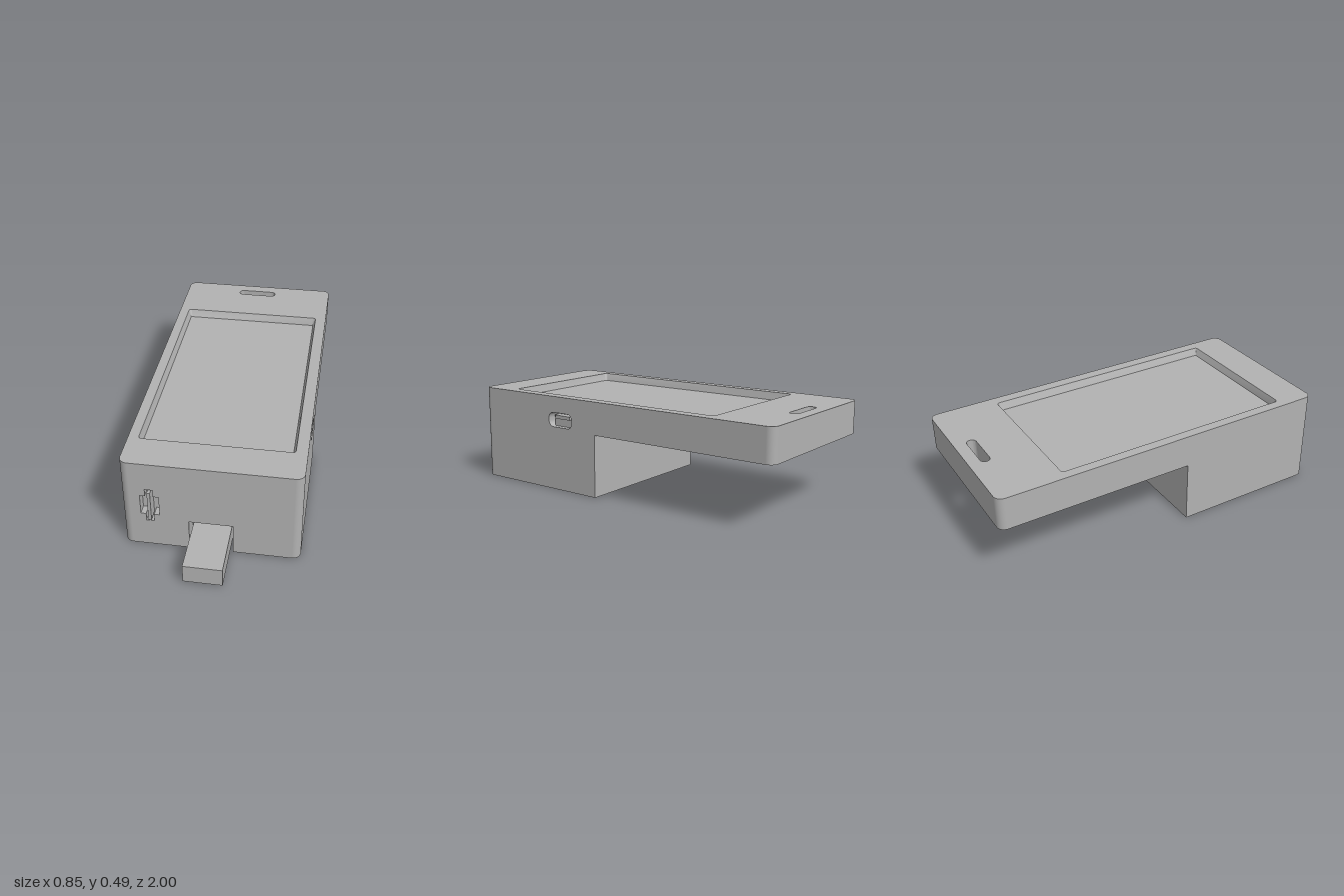
import * as THREE from 'three';
import { toCreasedNormals } from 'three/addons/utils/BufferGeometryUtils.js';

const W = 0.423, ZF = 0.775, ZB = -1, H = 0.488, STEP = 0.32, R = 0.04;
const SEG = 8;

// Counter-clockwise rounded rectangle; radii: lower left, lower right, upper right, upper left
function roundRect(x0, y0, x1, y1, radii) {
  const r = Array.isArray(radii) ? radii : [radii, radii, radii, radii];
  const corners = [[x0, y0, 1, 1], [x1, y0, -1, 1], [x1, y1, -1, -1], [x0, y1, 1, -1]];
  const pts = [];
  corners.forEach(([x, y, sx, sy], i) => {
    if (!r[i]) return pts.push(new THREE.Vector2(x, y));
    for (let k = 0; k <= SEG; k++) {
      const a = Math.PI + (i + k / SEG) * Math.PI / 2;
      pts.push(new THREE.Vector2(x + r[i] * (sx + Math.cos(a)), y + r[i] * (sy + Math.sin(a))));
    }
  });
  return pts;
}
const circle = (x, y, r) => roundRect(x - r, y - r, x + r, y + r, r);
const points = (list) => list.map(([x, y]) => new THREE.Vector2(x, y));

// Inward-facing walls from a hole's rim down to its floor outline
function wallGeometry(rim, floor, depth) {
  const v = [];
  rim.forEach((a, i) => {
    const j = (i + 1) % rim.length, b = rim[j], c = floor[j], d = floor[i];
    v.push(a.x, a.y, 0, b.x, b.y, 0, c.x, c.y, -depth);
    v.push(a.x, a.y, 0, c.x, c.y, -depth, d.x, d.y, -depth);
  });
  const g = new THREE.BufferGeometry();
  g.setAttribute('position', new THREE.Float32BufferAttribute(v, 3));
  return toCreasedNormals(g, 0.6);
}

export function createModel() {
  const model = new THREE.Group();
  const grey = new THREE.MeshStandardMaterial({ color: 0xb2b2b2 });
  grey.name = 'plastic grey';

  const add = (parent, name, geometry) => {
    const m = new THREE.Mesh(geometry, grey);
    m.name = name;
    parent.add(m);
    return m;
  };
  const box = (name, x0, x1, y0, y1, z0, z1) => {
    const m = add(model, name, new THREE.BoxGeometry(x1 - x0, y1 - y0, z1 - z0));
    m.position.set((x0 + x1) / 2, (y0 + y1) / 2, (z0 + z1) / 2);
  };

  // One flat outer face, its local +z pointing outward, with pockets sunk into it
  const face = (name, outline, rotation, position, pockets = []) => {
    const g = new THREE.Group();
    g.name = name;
    const shape = new THREE.Shape(outline);
    for (const p of pockets) {
      const floor = p.floor || p.rim;
      shape.holes.push(new THREE.Path(p.rim));
      add(g, p.name + 'Wall', wallGeometry(p.rim, floor, p.depth));
      if (!p.through) {
        add(g, p.name + 'Floor', new THREE.ShapeGeometry(new THREE.Shape(floor))).position.z = -p.depth;
      }
    }
    add(g, name + 'Surface', new THREE.ShapeGeometry(shape));
    g.rotation.set(...rotation);
    g.position.set(...position);
    model.add(g);
  };
  const Q = Math.PI / 2;

  // Top with the screen recess and the lanyard slot
  face('top', roundRect(-W, -ZF, W, -ZB, R), [-Q, 0, 0], [0, H, 0], [
    { name: 'screenRecess', depth: 0.04,
      rim: roundRect(-0.373, -0.588, 0.366, 0.66, 0.015),
      floor: roundRect(-0.36, -0.577, 0.353, 0.645, 0.008) },
    { name: 'lanyardSlot', depth: H - STEP, through: true,
      rim: roundRect(-0.11, 0.89, 0.102, 0.938, 0.024) },
  ]);

  // Underside of the overhang with hatch, slot mouth and screw holes
  const screw = (x, z) => ({ name: 'screwHole', depth: 0.04, rim: circle(x, z, 0.028) });
  face('overhangUnderside', roundRect(-W, ZB, W, 0, [R, R, 0, 0]), [Q, 0, 0], [0, STEP, 0], [
    { name: 'hatch', depth: 0.006, rim: roundRect(-0.305, -0.545, 0.305, -0.04, 0.05) },
    { name: 'slotMouth', depth: 0.01, through: true, rim: roundRect(-0.11, -0.938, 0.102, -0.89, 0.024) },
    screw(0.377, -0.95), screw(-0.377, -0.95),
  ]);

  // Base with the cable notch cut into its front edge
  const nx0 = -0.107, nx1 = 0.103, ny = 0.165, nz = 0.68;
  const base = roundRect(-W, 0, W, ZF, [0, 0, R, R]);
  base.splice(2 + SEG + 1, 0, ...points([[nx1, ZF], [nx1, nz], [nx0, nz], [nx0, ZF]]));
  face('base', base, [Q, 0, 0], [0, 0, 0], [
    screw(0.375, 0.722), screw(-0.375, 0.722),
    { name: 'pinHole', depth: 0.04, rim: circle(0.05, 0.385, 0.011) },
  ]);

  // Front with the notch and the cross-shaped card opening
  const F = W - R;
  face('front', points([[-F, 0], [nx0, 0], [nx0, ny], [nx1, ny], [nx1, 0], [F, 0], [F, H], [-F, H]]),
    [0, 0, 0], [0, 0, ZF], [
      { name: 'cardOpening', depth: 0.05, rim: points([
        [-0.309, 0.151], [-0.271, 0.151], [-0.271, 0.191], [-0.245, 0.191], [-0.245, 0.299], [-0.271, 0.299],
        [-0.271, 0.339], [-0.309, 0.339], [-0.309, 0.299], [-0.334, 0.299], [-0.334, 0.191], [-0.309, 0.191]]) },
    ]);
  box('memoryCard', -0.297, -0.282, 0.163, 0.327, 0.72, 0.785);

  // Notch lining and the plug leaving it
  const t = 0.004;
  box('notchBack', nx0, nx1, 0.001, ny, nz - t, nz);
  box('notchTop', nx0, nx1, ny, ny + t, nz, ZF - 0.001);
  box('notchSide', nx0 - t, nx0, 0.001, ny, nz, ZF - 0.001);
  box('notchSide', nx1, nx1 + t, 0.001, ny, nz, ZF - 0.001);
  box('plug', -0.096, 0.089, 0.008, 0.104, nz - 0.002, 1);

  // L-shaped sides; the left one holds the charging port
  const zf = ZF - R, zb = ZB + R;
  face('leftSide', points([[-zf, 0], [0, 0], [0, STEP], [-zb, STEP], [-zb, H], [-zf, H]]),
    [0, Q, 0], [W, 0, 0], [
      { name: 'chargingPort', depth: 0.06, rim: roundRect(-0.305, 0.33, -0.15, 0.405, 0.03) },
    ]);
  box('portConnector', 0.36, 0.395, 0.331, 0.388, 0.168, 0.288);
  box('portTongue', 0.39, 0.405, 0.37, 0.388, 0.18, 0.276);
  face('rightSide', points([[0, 0], [zf, 0], [zf, H], [zb, H], [zb, STEP], [0, STEP]]),
    [0, -Q, 0], [-W, 0, 0]);

  // Back edge and the step below it
  face('backEdge', roundRect(-F, STEP, F, H, 0), [0, Math.PI, 0], [0, 0, ZB]);
  face('step', roundRect(-W, 0, W, STEP, 0), [0, Math.PI, 0], [0, 0, 0]);

  // Rounded vertical corners
  for (const [sx, z, y0, start] of [[1, zf, 0, 0], [-1, zf, 0, -Q], [1, zb, STEP, Q], [-1, zb, STEP, 2 * Q]]) {
    const c = add(model, 'roundedCorner', new THREE.CylinderGeometry(R, R, H - y0, SEG, 1, true, start, Q));
    c.position.set(sx * F, (H + y0) / 2, z);
  }
  return model;
}
